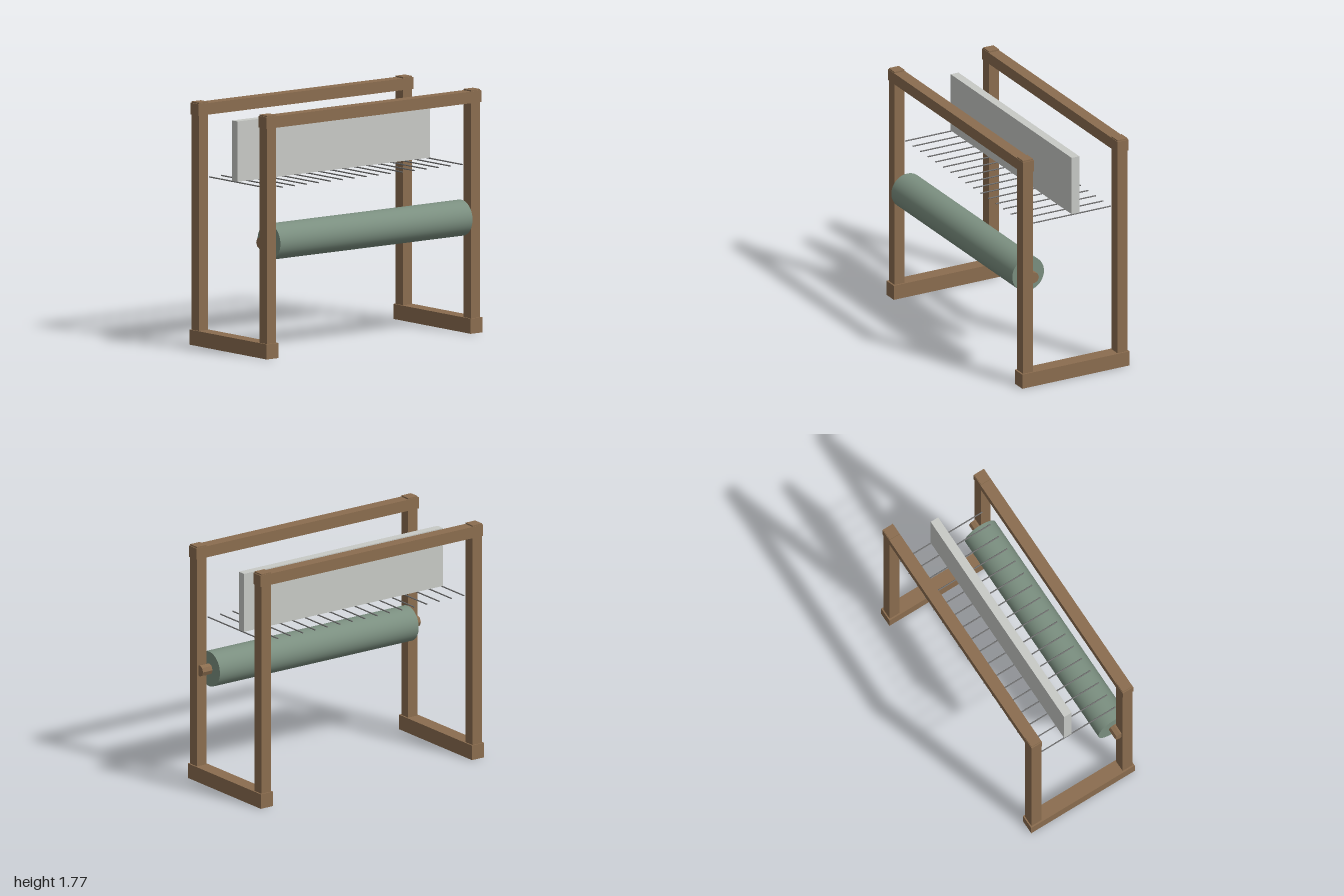
import * as THREE from 'three';

export function createModel() {
  const group = new THREE.Group();
  const material = (name, color, flatShading = false) =>
    Object.assign(new THREE.MeshStandardMaterial({ color, flatShading }), { name });
  const wood = material('wood brown', 0x8b6d4f);
  const cloth = material('cloth green', 0x7b8f80);
  const panelGrey = material('panel pale grey', 0xc8cac6);
  const rodGrey = material('rod grey', 0x707070);

  const add = (name, geometry, mat, x, y, z) => {
    const mesh = new THREE.Mesh(geometry, mat);
    mesh.name = name;
    mesh.position.set(x, y, z);
    group.add(mesh);
    return mesh;
  };
  // Box given by its extents on each axis
  const box = (name, mat, [x0, x1], [y0, y1], [z0, z1]) =>
    add(name, new THREE.BoxGeometry(x1 - x0, y1 - y0, z1 - z0), mat,
      (x0 + x1) / 2, (y0 + y1) / 2, (z0 + z1) / 2);

  const frames = [['front', 0.338, 0.421], ['back', -0.443, -0.359]];

  // Feet running front to back, and the four posts
  for (const side of [-1, 1]) {
    const label = side > 0 ? 'left' : 'right';
    const span = (a, b) => (side > 0 ? [a, b] : [-b, -a]);
    box(label + 'Foot', wood, span(0.89, 1), [0, 0.11], [-0.453, 0.434]);
    for (const [end, z0, z1] of frames) {
      box(end + label + 'Post', wood, span(0.902, 0.988), [0.1, 1.775], [z0, z1]);
    }
    // Axle stub between roller and front post
    const stub = add(label + 'Axle', new THREE.CylinderGeometry(0.042, 0.042, 0.1, 8).toNonIndexed(),
      wood, side * 0.925, 0.835, 0.324);
    stub.geometry.computeVertexNormals();
    stub.rotation.z = Math.PI / 2;
  }

  // Top beams, a little proud of the posts at the corners
  for (const [end, z0, z1] of frames) {
    box(end + 'Beam', wood, [-0.996, 0.996], [1.68, 1.765], [z0 - 0.003, z1 + 0.003]);
  }

  // Cloth roller
  const roller = add('clothRoller', new THREE.CylinderGeometry(0.131, 0.131, 1.78, 40),
    cloth, 0, 0.835, 0.324);
  roller.rotation.z = Math.PI / 2;

  // Hanging panel
  box('panel', panelGrey, [-0.89, 0.89], [1.228, 1.668], [-0.1, -0.036]);

  // Row of thin rods crossing below the panel
  const rodGeometry = new THREE.CylinderGeometry(0.005, 0.005, 0.7, 8);
  for (let i = 0; i < 17; i++) {
    const rod = add('rod' + (i + 1), rodGeometry, rodGrey, -0.888 + i * 0.111, 1.224, -0.01);
    rod.rotation.x = Math.PI / 2;
  }

  return group;
}
